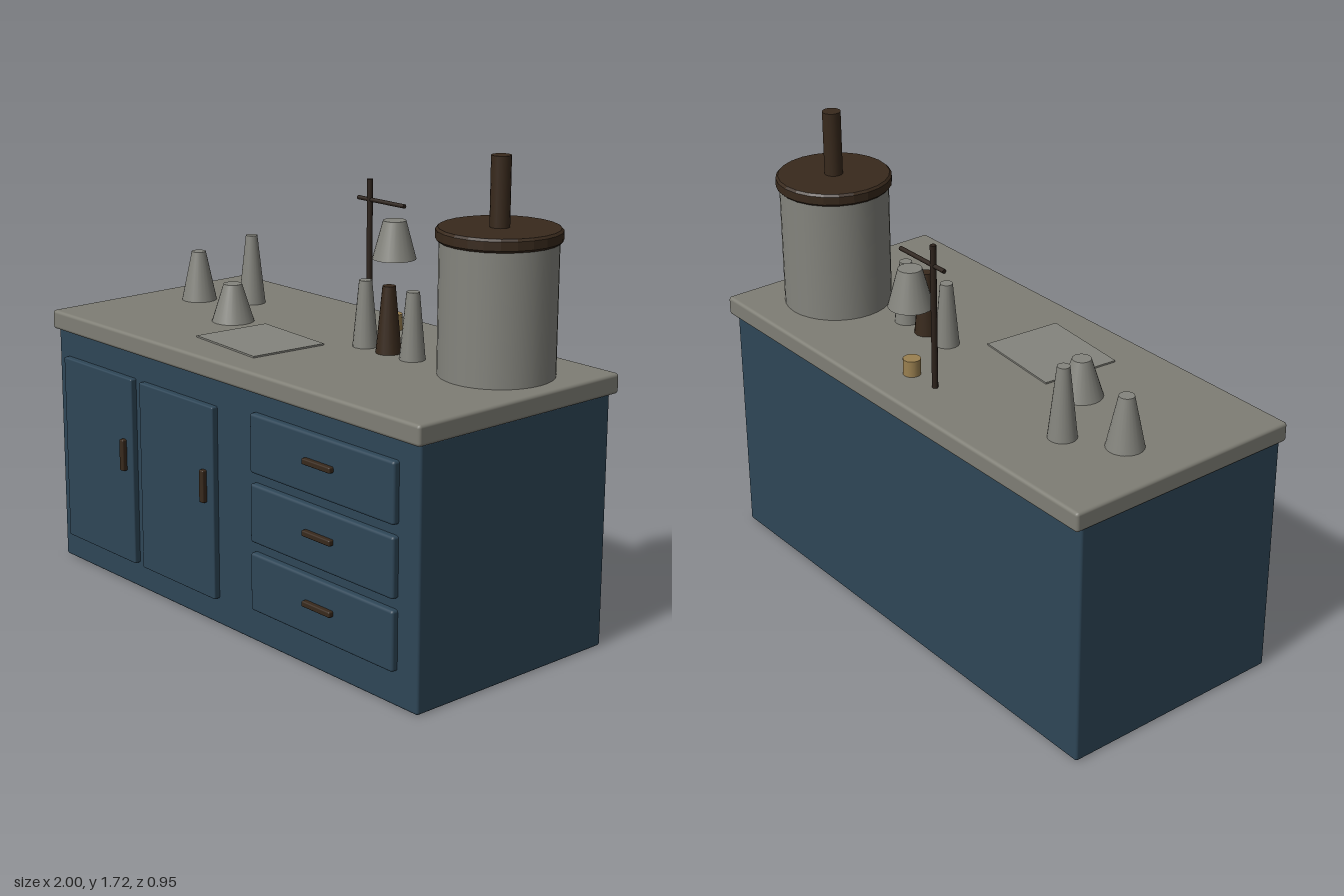
import * as THREE from 'three';
import { RoundedBoxGeometry } from 'three/addons/geometries/RoundedBoxGeometry.js';

const mat = (name, color) => {
  const m = new THREE.MeshStandardMaterial({ color });
  m.name = name;
  return m;
};

export function createModel() {
  const model = new THREE.Group();
  model.name = 'labBench';

  const blue = mat('cabinetBlue', 0x2e4657);
  const stone = mat('counterGrey', 0x7f7e75);
  const glass = mat('glasswareGrey', 0x84847d);
  const brown = mat('darkBrown', 0x38291c);
  const iron = mat('standIron', 0x2c221b);
  const tan = mat('burnerTan', 0x9a8050);

  const add = (name, geometry, material, x, y, z) => {
    const m = new THREE.Mesh(geometry, material);
    m.name = name;
    m.position.set(x, y, z);
    model.add(m);
    return m;
  };
  // Box given by its extents, with softened edges
  const box = (name, material, x0, x1, y0, y1, z0, z1, r) =>
    add(name, new RoundedBoxGeometry(x1 - x0, y1 - y0, z1 - z0, 2, r), material,
      (x0 + x1) / 2, (y0 + y1) / 2, (z0 + z1) / 2);
  // Upright cylinder or cone standing on y0
  const round = (name, material, x, z, y0, y1, rBottom, rTop, sides = 24) =>
    add(name, new THREE.CylinderGeometry(rTop, rBottom, y1 - y0, sides), material, x, (y0 + y1) / 2, z);

  // Cabinet and counter
  box('cabinet', blue, -0.99, 0.985, 0, 0.912, -0.447, 0.433, 0.01);
  box('counter', stone, -1, 1, 0.908, 0.98, -0.475, 0.455, 0.012);

  // Doors with upright handles
  for (const x of [-0.93, -0.455]) {
    box('door', blue, x, x + 0.427, 0.1, 0.81, 0.42, 0.457, 0.006);
    box('doorHandle', brown, x + 0.368, x + 0.392, 0.455, 0.575, 0.45, 0.475, 0.005);
  }

  // Drawers with level handles
  for (const y of [0.125, 0.375, 0.625]) {
    box('drawer', blue, 0.175, 0.89, y, y + 0.212, 0.42, 0.457, 0.01);
    box('drawerHandle', brown, 0.464, 0.605, y + 0.105, y + 0.126, 0.45, 0.475, 0.005);
  }

  // Still: tank, lid with bevelled rim, pipe
  round('tank', glass, 0.735, -0.155, 0.975, 1.44, 0.2, 0.2, 32);
  const rim = [[0, 0], [0.204, 0], [0.212, 0.008], [0.212, 0.038], [0.204, 0.046], [0, 0.046]]
    .map(([x, y]) => new THREE.Vector2(x, y));
  const lidGeometry = new THREE.LatheGeometry(rim, 24).toNonIndexed();
  lidGeometry.computeVertexNormals();
  add('tankLid', lidGeometry, brown, 0.735, 1.434, -0.155);
  round('tankPipe', brown, 0.735, -0.155, 1.47, 1.718, 0.034, 0.034, 16);

  // Conical flasks: x, z, top height, bottom radius, top radius
  for (const [x, z, top, rb, rt] of [
    [-0.777, -0.075, 1.168, 0.068, 0.027],
    [-0.6, -0.193, 1.242, 0.052, 0.022],
    [-0.42, 0.045, 1.12, 0.08, 0.034],
  ]) round('flask', glass, x, z, 0.975, top, rb, rt);

  // Row of bottles, the middle one dark
  [0.175, 0.295, 0.415].forEach((x, i) =>
    round('bottle', i === 1 ? brown : glass, x, -0.073, 0.975, 1.218, 0.046, 0.023, 16));

  // Retort stand, hanging flask and burner
  round('standPole', iron, -0.064, -0.31, 0.975, 1.515, 0.011, 0.011, 12);
  const arm = round('standArm', iron, -0.003, -0.31, 1.318, 1.562, 0.008, 0.008, 12);
  arm.position.y = 1.44;
  arm.rotation.z = Math.PI / 2;
  round('hangingFlask', glass, 0.068, -0.31, 1.243, 1.383, 0.08, 0.042);
  round('burner', tan, 0.068, -0.31, 0.975, 1.04, 0.032, 0.032, 16);

  // Sheet lying on the counter
  const sheet = add('sheet', new THREE.BoxGeometry(0.36, 0.008, 0.3), glass, -0.12, 0.982, 0.165);
  sheet.rotation.y = -0.085;

  return model;
}
